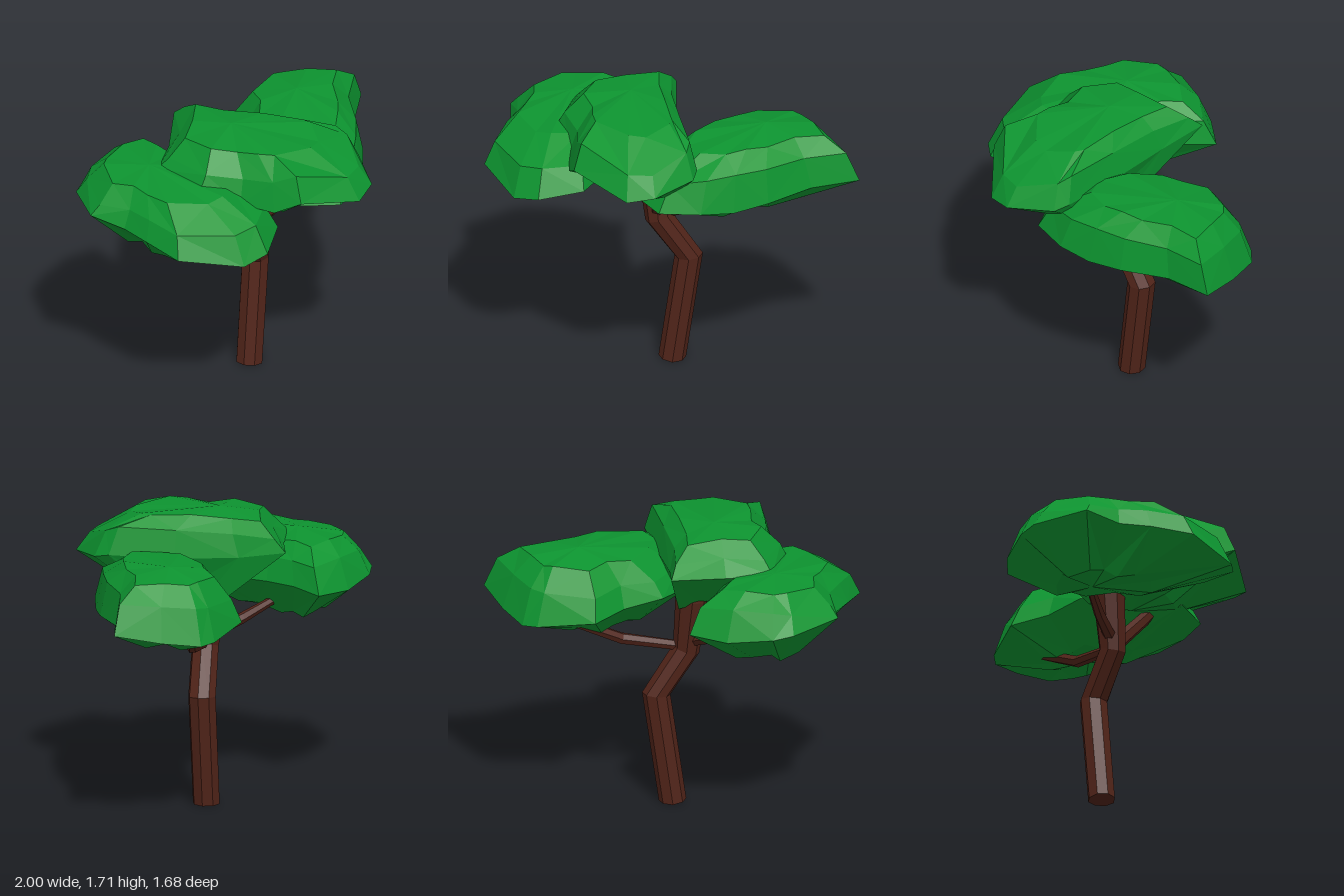
import * as THREE from 'three';

const leafMaterial = new THREE.MeshStandardMaterial({ color: 0x0d9430, flatShading: true });
const barkMaterial = new THREE.MeshStandardMaterial({ color: 0x512419, flatShading: true });

// Faceted skin over rings of points, bottom to top; the first and last rings are single points
function skin(rings) {
  const n = rings[0].length;
  const last = rings.length - 2;
  const index = [];
  for (let r = 0; r <= last; r++) {
    for (let i = 0; i < n; i++) {
      const j = (i + 1) % n;
      const a = r * n + i, b = r * n + j, c = b + n, d = a + n;
      if (r === 0) index.push(a, c, d);
      else if (r === last) index.push(a, b, c);
      else if ((i + r) % 2) index.push(a, b, d, b, c, d);
      else index.push(a, b, c, a, c, d);
    }
  }
  const geometry = new THREE.BufferGeometry().setFromPoints(rings.flat());
  geometry.setIndex(index);
  const flat = geometry.toNonIndexed();
  flat.computeVertexNormals();
  return flat;
}

function addMesh(group, name, geometry, material) {
  const mesh = new THREE.Mesh(geometry, material);
  mesh.name = name;
  group.add(mesh);
}

// Limb: polygonal rings square to a bent path; path points are [x, y, z, radius]
function limb(path, sides) {
  const pts = path.map(([x, y, z]) => new THREE.Vector3(x, y, z));
  const up = new THREE.Vector3(0, 1, 0);
  const rings = pts.map((p, k) => {
    const dir = pts[Math.min(k + 1, pts.length - 1)].clone().sub(pts[Math.max(k - 1, 0)]).normalize();
    const q = new THREE.Quaternion().setFromUnitVectors(up, dir);
    return Array.from({ length: sides }, (_, i) => {
      const a = (i / sides) * Math.PI * 2;
      const v = new THREE.Vector3(Math.sin(a), 0, Math.cos(a)).multiplyScalar(path[k][3]);
      v.applyQuaternion(q).add(p);
      v.y = Math.max(v.y, 0);
      return v;
    });
  });
  const cap = (p) => Array.from({ length: sides }, () => p.clone());
  return skin([cap(pts[0]), ...rings, cap(pts[pts.length - 1])]);
}

// Leaf clump: outline points are [x, z, edge height, shoulder height];
// foot and apex are [x, y, z] of the lowest and highest points
function clump({ centre, foot, footScale, apex, outline }) {
  const ring = ([cx, cz], scale, height) => outline.map(([x, z, edge, shoulder], i) =>
    new THREE.Vector3(cx + (x - cx) * scale, height(edge, shoulder, i), cz + (z - cz) * scale));
  const footXZ = [foot[0], foot[2]];
  const apexXZ = [apex[0], apex[2]];
  return skin([
    ring(footXZ, 0, () => foot[1]),
    ring(footXZ, footScale, (e, s, i) => foot[1] + 0.02 * (i % 3)),
    ring(centre, 1, (e) => e),
    ring(centre, 0.88, (e, s) => s),
    ring(apexXZ, 0.62, (e, s, i) => THREE.MathUtils.lerp(s, apex[1], 0.72) + 0.012 * (i % 2)),
    ring(apexXZ, 0, () => apex[1]),
  ]);
}

const clumps = {
  rightFoliage: {
    centre: [-0.52, 0.18], foot: [-0.56, 1.05, 0.08], footScale: 0.42, apex: [-0.6, 1.53, 0.08],
    outline: [
      [-0.44, -0.47, 1.26, 1.41], [-0.67, -0.4, 1.25, 1.43], [-0.89, -0.25, 1.28, 1.42],
      [-0.96, -0.15, 1.3, 1.4], [-1, 0.18, 1.33, 1.39], [-0.85, 0.33, 1.29, 1.4],
      [-0.78, 0.5, 1.28, 1.4], [-0.67, 0.72, 1.25, 1.38], [-0.31, 0.84, 1.2, 1.37],
      [-0.15, 0.8, 1.23, 1.39], [0, 0.58, 1.26, 1.39], [-0.1, 0.25, 1.27, 1.42],
      [-0.3, -0.1, 1.28, 1.42], [-0.38, -0.28, 1.28, 1.42],
    ],
  },
  topFoliage: {
    centre: [0.04, 0.2], foot: [0.14, 1.21, 0.1], footScale: 0.4, apex: [-0.1, 1.71, 0.1],
    outline: [
      [-0.25, -0.42, 1.53, 1.6], [-0.4, -0.12, 1.5, 1.6], [-0.56, 0.1, 1.5, 1.57],
      [-0.42, 0.4, 1.46, 1.57], [-0.2, 0.5, 1.41, 1.55], [-0.05, 0.65, 1.4, 1.57],
      [0.08, 0.74, 1.48, 1.63], [0.46, 0.69, 1.39, 1.53], [0.58, 0.58, 1.42, 1.53],
      [0.61, 0.3, 1.45, 1.6], [0.56, 0.22, 1.47, 1.63], [0.25, 0, 1.46, 1.62],
      [-0.05, -0.22, 1.48, 1.61],
    ],
  },
  leftFoliage: {
    centre: [0.5, -0.27], foot: [0.43, 1.06, -0.25], footScale: 0.4, apex: [0.5, 1.54, -0.4],
    outline: [
      [0.15, -0.63, 1.22, 1.35], [0.14, -0.4, 1.25, 1.38], [0.04, -0.18, 1.28, 1.37],
      [0.1, 0.12, 1.26, 1.39], [0.22, 0.38, 1.24, 1.37], [0.45, 0.42, 1.22, 1.38],
      [0.63, 0.26, 1.22, 1.41], [0.72, 0.08, 1.2, 1.42], [0.8, -0.12, 1.22, 1.42],
      [0.86, -0.41, 1.24, 1.42], [1, -0.66, 1.25, 1.42], [0.75, -0.77, 1.2, 1.4],
      [0.53, -0.84, 1.17, 1.38], [0.43, -0.82, 1.18, 1.37],
    ],
  },
};

// Bent trunk and three branches reaching into the clumps
const limbs = {
  trunk: [[0.075, 0, -0.062, 0.08], [0.14, 0.66, -0.13, 0.082], [0.04, 0.92, 0.015, 0.08],
    [-0.01, 1.25, 0.01, 0.095], [-0.03, 1.42, 0.02, 0.07]],
  rightBranch: [[0.04, 0.97, 0.02, 0.04], [-0.2, 1.05, 0.01, 0.032], [-0.46, 1.15, 0.02, 0.022]],
  frontBranch: [[0.06, 0.98, 0.04, 0.045], [0.2, 1.17, 0.15, 0.04], [0.3, 1.32, 0.24, 0.025]],
  leftBranch: [[0.06, 0.94, -0.01, 0.03], [0.28, 1.0, -0.27, 0.034], [0.42, 1.14, -0.53, 0.03]],
};

export function createModel() {
  const model = new THREE.Group();
  model.name = 'tree';
  for (const [name, path] of Object.entries(limbs)) {
    addMesh(model, name, limb(path, name === 'trunk' ? 8 : 6), barkMaterial);
  }
  for (const [name, spec] of Object.entries(clumps)) {
    addMesh(model, name, clump(spec), leafMaterial);
  }
  return model;
}
